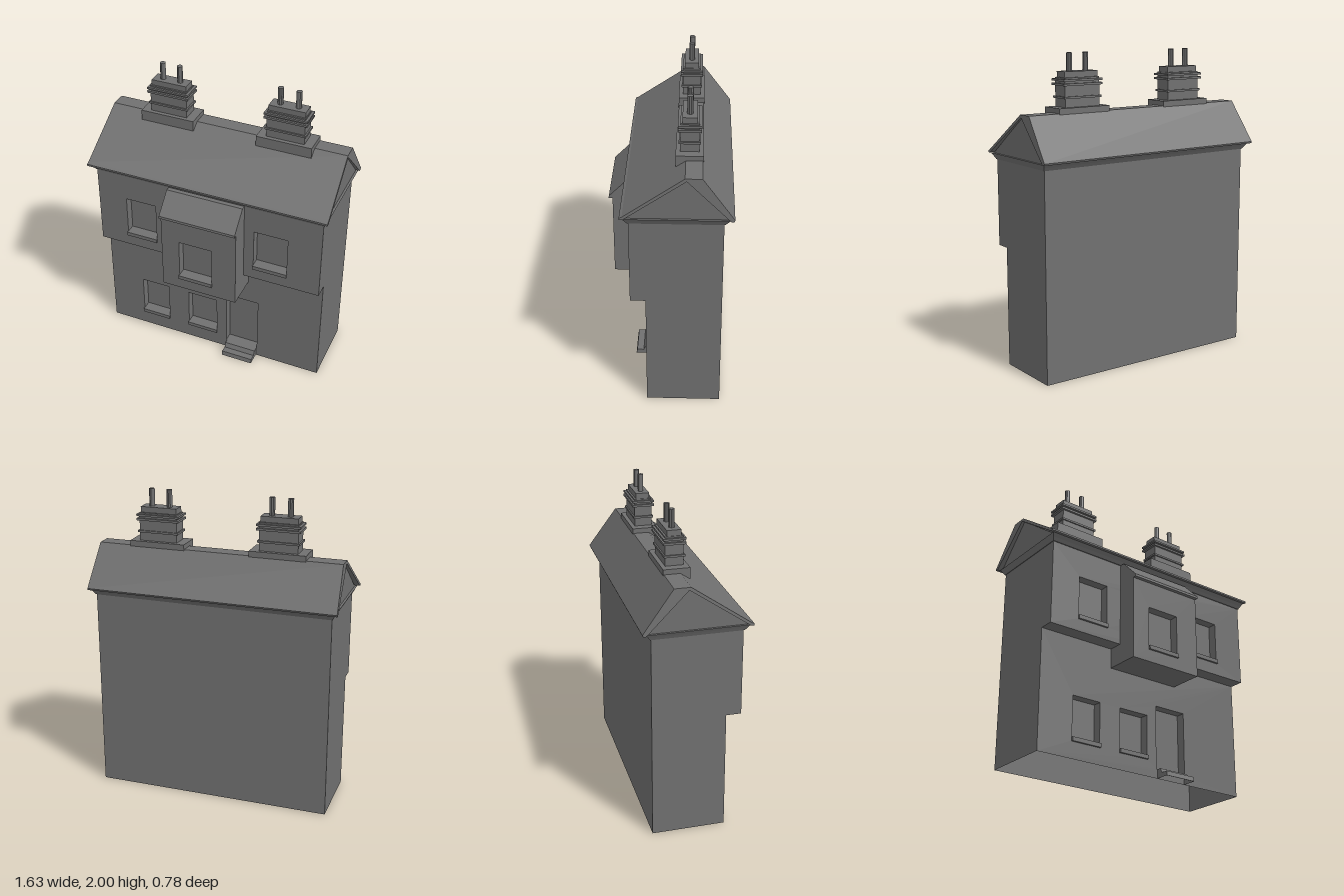
import * as THREE from 'three';

const mat = new THREE.MeshStandardMaterial({ color: 0x707070, side: THREE.DoubleSide, flatShading: true });

export function createModel() {
  const house = new THREE.Group();
  house.name = 'house';

  const add = (name, geo, parent = house) => {
    const mesh = new THREE.Mesh(geo, mat);
    mesh.name = name;
    parent.add(mesh);
  };
  // box from its limits on each axis
  const boxGeo = (x0, x1, y0, y1, z0, z1) =>
    new THREE.BoxGeometry(x1 - x0, y1 - y0, z1 - z0)
      .translate((x0 + x1) / 2, (y0 + y1) / 2, (z0 + z1) / 2);
  const outline = pts => new THREE.Shape(pts.map(p => new THREE.Vector2(p[0], p[1])));
  const rect = (x0, x1, y0, y1) => [[x0, y0], [x1, y0], [x1, y1], [x0, y1]];
  // flat wall across the house at depth z, with rectangular openings
  const frontWall = (name, r, z, openings = []) => {
    const s = outline(rect(...r));
    openings.forEach(o => s.holes.push(outline(rect(...o))));
    add(name, new THREE.ShapeGeometry(s).translate(0, 0, z));
  };
  // flat wall in the zy plane at x
  const sideWall = (name, pts, x) =>
    add(name, new THREE.ShapeGeometry(outline(pts)).rotateY(-Math.PI / 2).translate(x, 0, 0));
  // level surface seen from below
  const underside = (name, x0, x1, y, z0, z1) =>
    add(name, new THREE.PlaneGeometry(x1 - x0, z1 - z0)
      .rotateX(Math.PI / 2).translate((x0 + x1) / 2, y, (z0 + z1) / 2));
  // zy profile extruded from x0 to x1
  const prism = (pts, x0, x1) =>
    new THREE.ExtrudeGeometry(outline(pts), { depth: x1 - x0, bevelEnabled: false })
      .rotateY(-Math.PI / 2).translate(x1, 0, 0);
  // open-fronted recess behind an opening
  const DEPTH = 0.06;
  const recess = (name, [x0, x1, y0, y1], z) => {
    const g = boxGeo(x0, x1, y0, y1, z - DEPTH, z);
    const idx = Array.from(g.index.array);
    idx.splice(24, 6);
    g.setIndex(idx);
    g.clearGroups();
    add(name, g);
  };
  const sill = ([x0, x1, y0], z) =>
    add('windowSill', boxGeo(x0 - 0.003, x1 + 0.003, y0 - 0.004, y0 + 0.022, z - DEPTH, z + 0.014));

  const X0 = -0.772, X1 = 0.779, BACK = -0.33, LOW = 0.135, UP = 0.23, BAY = 0.365;
  const JETTY = 0.775, TOP = 1.33;

  // walls with their openings
  const lowWindows = [[-0.533, -0.332, 0.112, 0.398], [-0.18, 0.032, 0.112, 0.398]];
  const door = [0.106, 0.335, 0.06, 0.477];
  const upWindows = [[-0.57, -0.358, 0.86, 1.147], [0.33, 0.557, 0.86, 1.147]];
  const bayWindow = [-0.13, 0.097, 0.73, 1.017];
  const bx0 = -0.253, bx1 = 0.263, by = 0.645;

  frontWall('lowerFrontWall', [X0, X1, 0, JETTY], LOW, [...lowWindows, door]);
  frontWall('upperFrontWall', [X0, X1, JETTY, TOP], UP, upWindows);
  frontWall('backWall', [X0, X1, 0, TOP], BACK);
  const sidePts = [[BACK, 0], [LOW, 0], [LOW, JETTY], [UP, JETTY], [UP, TOP], [BACK, TOP]];
  for (const x of [X0, X1]) sideWall('sideWall', sidePts, x);
  underside('jettyUnderside', X0, X1, JETTY, LOW, UP);

  lowWindows.forEach(o => { recess('lowerWindow', o, LOW); sill(o, LOW); });
  upWindows.forEach(o => { recess('upperWindow', o, UP); sill(o, UP); });
  recess('doorway', door, LOW);

  // projecting bay
  frontWall('bayFrontWall', [bx0, bx1, by, 1.2], BAY, [bayWindow]);
  const bayPts = [[LOW, by], [BAY, by], [BAY, 1.21], [0.25, 1.325], [UP, 1.325], [UP, JETTY], [LOW, JETTY]];
  for (const x of [bx0, bx1]) sideWall('baySideWall', bayPts, x);
  underside('bayUnderside', bx0, bx1, by, LOW, BAY);
  recess('bayWindow', bayWindow, BAY);
  sill(bayWindow, BAY);
  add('bayRoof', prism([[0.365, 1.19], [0.39, 1.19], [0.388, 1.206], [0.265, TOP], [0.23, TOP], [0.25, 1.31]],
    bx0 - 0.001, bx1 + 0.001));

  // door steps, hollow underneath
  const stepPts = [[0.23, 0], [0.224, 0.03], [0.18, 0.03], [0.165, 0.06], [LOW, 0.06]];
  const stepInner = [[LOW, 0.057], [0.163, 0.057], [0.178, 0.027], [0.221, 0.027], [0.226, 0]];
  add('doorSteps', prism([...stepPts, ...stepInner], 0.112, 0.33));
  for (const x of [0.112, 0.33]) sideWall('stepSide', [[LOW, 0], ...stepPts], x);

  // sloping cornice in two stages
  const cornice = (y0, y1, o0, o1) => {
    const g = boxGeo(X0, X1, y0, y1, BACK, UP);
    const p = g.attributes.position;
    for (let i = 0; i < p.count; i++) {
      const o = p.getY(i) > (y0 + y1) / 2 ? o1 : o0;
      p.setX(i, p.getX(i) + Math.sign(p.getX(i)) * o);
      p.setZ(i, p.getZ(i) + Math.sign(p.getZ(i)) * o * 1.4);
    }
    g.computeVertexNormals();
    add('cornice', g);
  };
  cornice(TOP, 1.35, 0.004, 0.014);
  cornice(1.35, 1.37, 0.014, 0.025);

  // roof covering with a front lip, slightly narrower at the ridge
  const roofGeo = prism([
    [0.28, 1.372], [0.28, 1.384], [0.263, 1.391], [-0.1, 1.641], [-0.2, 1.641], [-0.39, 1.382], [-0.385, 1.37],
    [-0.368, 1.37], [-0.11, 1.624], [0.26, 1.372],
  ], -1, 1);
  const p = roofGeo.attributes.position;
  for (let i = 0; i < p.count; i++) {
    p.setX(i, p.getX(i) * (0.815 - 0.015 * (p.getY(i) - 1.372) / 0.269));
  }
  roofGeo.computeVertexNormals();
  add('roof', roofGeo);
  add('gables', prism([[0.255, 1.368], [-0.11, 1.627], [-0.368, 1.368]], X0 - 0.01, X1 + 0.01));

  // chimney stacks: width, depth, bottom, top of each course
  const courses = [
    ['chimneyBase', 0.365, 0.165, 1.603, 1.672],
    ['chimneyShaft', 0.25, 0.112, 1.672, 1.852],
    ['chimneyBand', 0.27, 0.13, 1.725, 1.738],
    ['chimneyBand', 0.282, 0.14, 1.803, 1.817],
    ['chimneyBand', 0.282, 0.14, 1.83, 1.843],
    ['chimneyCap', 0.24, 0.088, 1.852, 1.888],
  ];
  for (const cx of [-0.387, 0.405]) {
    const stack = new THREE.Group();
    stack.name = 'chimneyStack';
    stack.position.set(cx, 0, -0.122);
    for (const [name, w, d, y0, y1] of courses) {
      add(name, boxGeo(-w / 2, w / 2, y0, y1, -d / 2, d / 2), stack);
    }
    for (const s of [-1, 1]) {
      add('chimneyPot', new THREE.CylinderGeometry(0.018, 0.018, 0.12, 10).translate(s * 0.059, 1.94, 0), stack);
    }
    house.add(stack);
  }
  return house;
}
